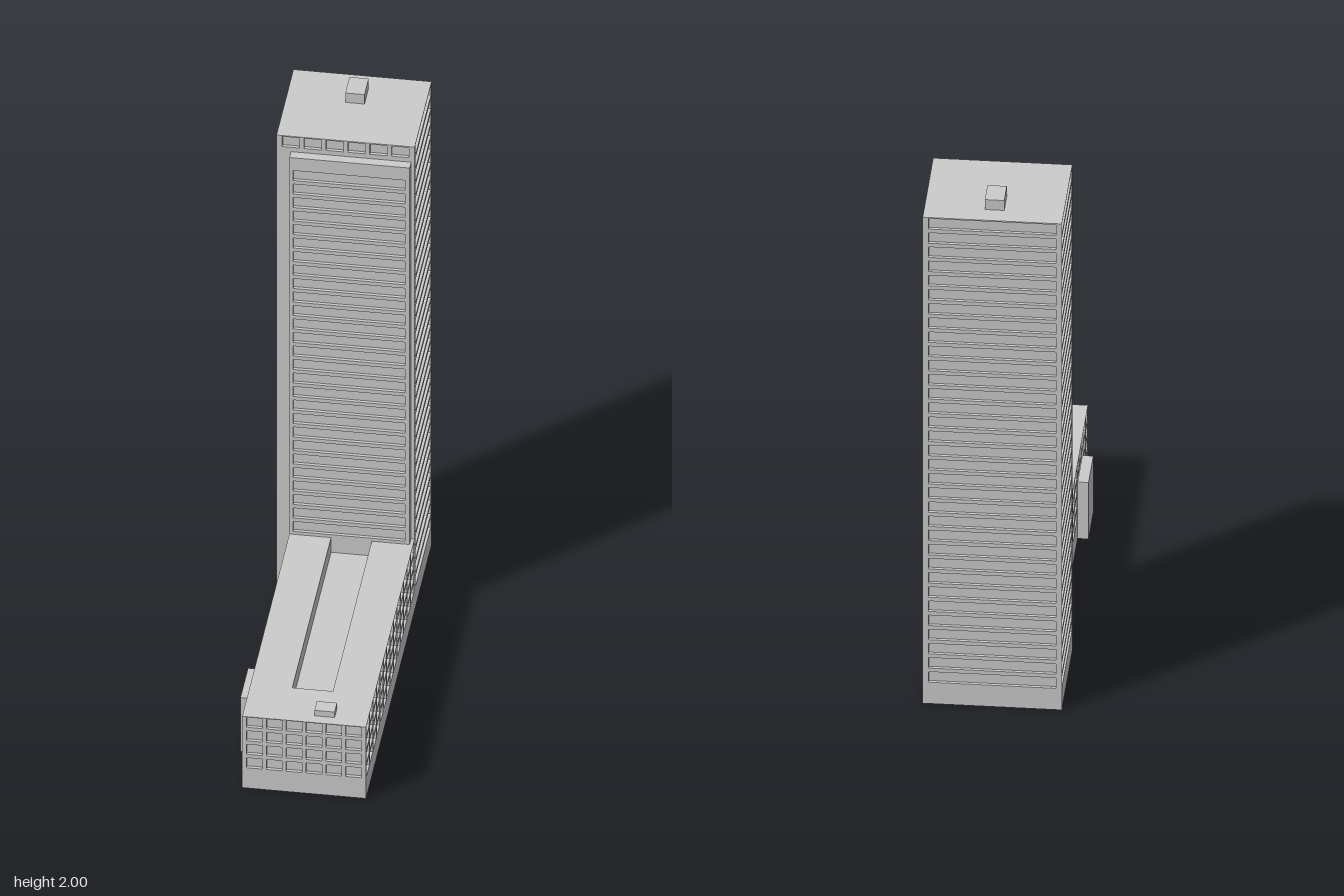
import * as THREE from 'three';

const mat = new THREE.MeshStandardMaterial({ color: 0xcccccc, flatShading: true, side: THREE.DoubleSide });
const FLOOR = 0.0571;   // storey height
const FIRST = 0.128;    // top of the lowest window row
const WIN_H = 0.042;    // window height
const DEPTH = 0.012;    // window recess

function box(name, x0, x1, y0, y1, z0, z1) {
  const g = new THREE.BoxGeometry(x1 - x0, y1 - y0, z1 - z0);
  g.translate((x0 + x1) / 2, (y0 + y1) / 2, (z0 + z1) / 2);
  const mesh = new THREE.Mesh(g, mat);
  mesh.name = name;
  return mesh;
}

function rect(Type, x0, x1, y0, y1) {
  const p = new Type();
  p.moveTo(x0, y0);
  p.lineTo(x1, y0);
  p.lineTo(x1, y1);
  p.lineTo(x0, y1);
  p.closePath();
  return p;
}

// Wall panel in the XY plane, pierced by rows of windows
function facade(name, u0, u1, y0, y1, win) {
  const shape = rect(THREE.Shape, u0, u1, y0, y1);
  const pitch = (win.u1 - win.u0 + win.gap) / win.cols;
  for (let r = win.from; r <= win.to; r++) {
    const top = FIRST + r * FLOOR;
    for (let c = 0; c < win.cols; c++) {
      const a = win.u0 + c * pitch;
      shape.holes.push(rect(THREE.Path, a, a + pitch - win.gap, top - WIN_H, top));
    }
  }
  const mesh = new THREE.Mesh(
    new THREE.ExtrudeGeometry(shape, { depth: DEPTH, bevelEnabled: false }), mat);
  mesh.name = name;
  return mesh;
}

// Place a panel whose u axis runs along +z, with its inner face at x
function sideFacade(name, x, z0, z1, y0, y1, win) {
  const m = facade(name, z0, z1, y0, y1, win);
  m.geometry.rotateY(-Math.PI / 2);       // u -> z, depth -> -x
  m.position.x = x + DEPTH;
  return m;
}

function frontFacade(name, z, x0, x1, y0, y1, win) {
  const m = facade(name, x0, x1, y0, y1, win);
  m.position.z = z;
  return m;
}

function createTower() {
  const g = new THREE.Group();
  g.name = 'tower';
  const X = 0.24, zb = -0.755, zf = -0.365, top = 1.96, d = DEPTH;
  const band = (u0, u1) => ({ u0, u1, cols: 1, gap: 0, from: 0, to: 32 - 0 });
  g.add(box('towerCore', -X + d, X - d, 0, top, zb + d, zf - d));
  g.add(frontFacade('towerBackWall', zb, -X, X, 0, top, band(-0.22, 0.22)));
  g.add(frontFacade('towerFrontWall', zf - d, -X, X, 0, top,
    { u0: -0.22, u1: 0.22, cols: 6, gap: 0.016, from: 32, to: 32 }));
  for (const [name, x] of [['towerLeftWall', X - d], ['towerRightWall', -X]]) {
    g.add(sideFacade(name, x, zb + d, zf - d, 0, top, band(-0.74, -0.38)));
  }
  g.add(box('towerRoofHousing', -0.035, 0.032, top, 2.0, -0.685, -0.59));
  return g;
}

// Thinner slab standing against the tower front
function createFrontSlab() {
  const g = new THREE.Group();
  g.name = 'frontSlab';
  g.add(box('frontSlabCore', -0.19, 0.228, 0.3, 1.895, -0.365, -0.33 - DEPTH));
  g.add(frontFacade('frontSlabWall', -0.33 - DEPTH, -0.19, 0.228, 0.3, 1.895,
    { u0: -0.177, u1: 0.212, cols: 1, gap: 0, from: 4, to: 30 }));
  return g;
}

function createPodium() {
  const g = new THREE.Group();
  g.name = 'podium';
  const x0 = -0.19, x1 = 0.24, zb = -0.365, zf = 0.755, top = 0.302, court = 0.24, d = DEPTH;
  g.add(box('podiumCore', x0 + d, x1 - d, 0, court, zb, zf - d));

  // Roof layer with the long sunken court
  const roof = rect(THREE.Shape, x0 + d, x1 - d, -(zf - d), -zb);
  roof.holes.push(rect(THREE.Path, -0.045, 0.096, -0.563, 0.33));
  const roofGeo = new THREE.ExtrudeGeometry(roof, { depth: top - court, bevelEnabled: false });
  roofGeo.rotateX(-Math.PI / 2);
  const roofMesh = new THREE.Mesh(roofGeo, mat);
  roofMesh.name = 'podiumRoof';
  roofMesh.position.y = court;
  g.add(roofMesh);

  // Window walls
  g.add(frontFacade('podiumFrontWall', zf - d, x0, x1, 0, top,
    { u0: -0.175, u1: 0.224, cols: 6, gap: 0.014, from: 0, to: 3 }));
  for (const [name, x] of [['podiumLeftWall', x1 - d], ['podiumRightWall', x0]]) {
    g.add(sideFacade(name, x, zb, zf - d, 0, top,
      { u0: -0.345, u1: 0.738, cols: 14, gap: 0.015, from: 0, to: 3 }));
  }
  g.add(box('podiumRoofHousing', 0.055, 0.125, top, 0.325, 0.66, 0.715));
  g.add(box('sideEntranceBlock', -0.228, x0, 0, 0.228, 0.37, 0.545));
  return g;
}

export function createModel() {
  const model = new THREE.Group();
  model.name = 'officeTower';
  model.add(createTower(), createFrontSlab(), createPodium());
  return model;
}
